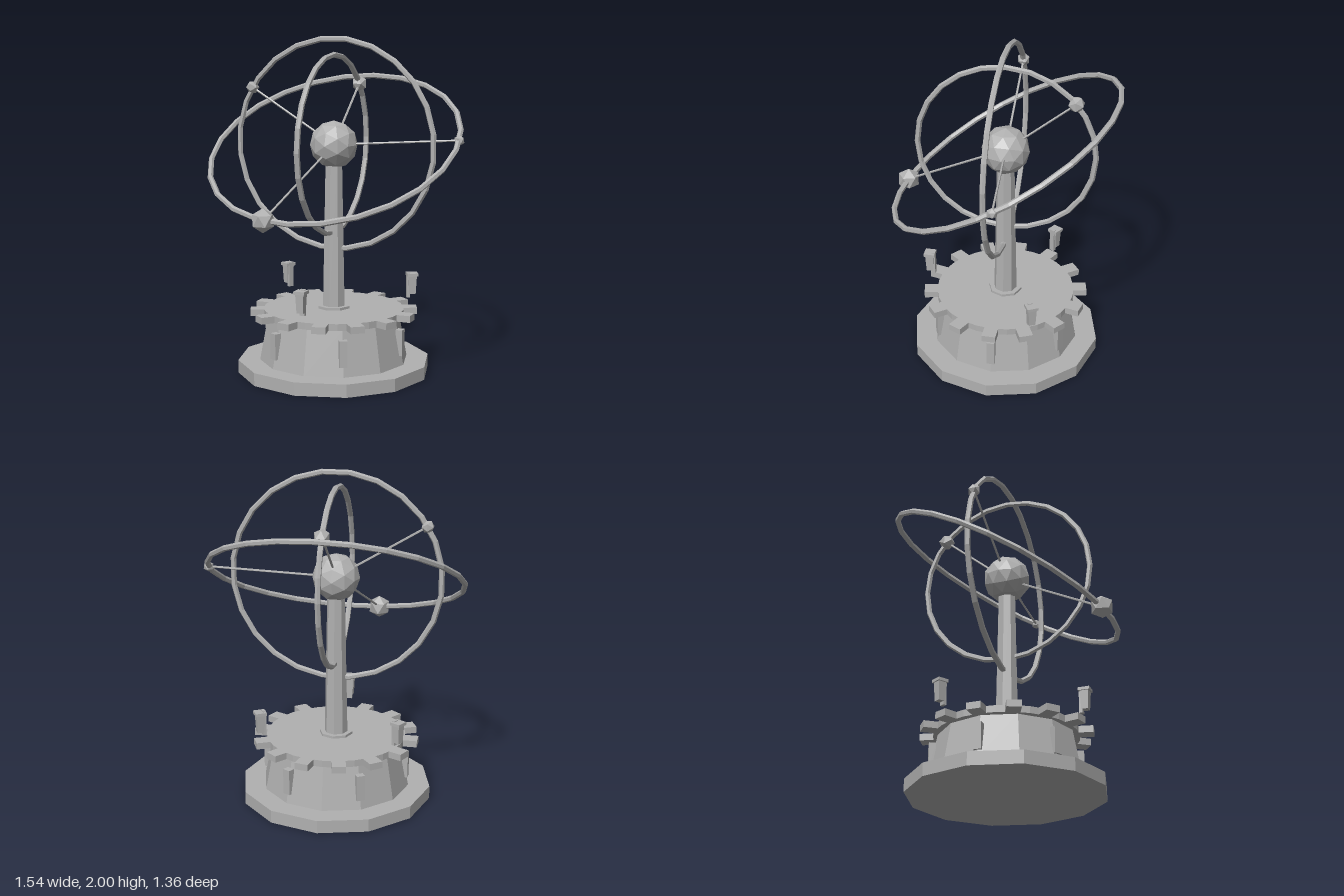
import * as THREE from 'three';

const stone = new THREE.MeshStandardMaterial({ color: 0xb0b0b0, flatShading: true });
stone.name = 'grey';

const rad = THREE.MathUtils.degToRad;

function add(parent, name, geometry, x = 0, y = 0, z = 0) {
  const mesh = new THREE.Mesh(geometry, stone);
  mesh.name = name;
  mesh.position.set(x, y, z);
  parent.add(mesh);
  return mesh;
}

// Cylinder described by its bottom and top heights
function drum(parent, name, rTop, rBottom, y0, y1, sides) {
  return add(parent, name, new THREE.CylinderGeometry(rTop, rBottom, y1 - y0, sides), 0, (y0 + y1) / 2, 0);
}

// Orbit ring carrying planets, each held by a thin spoke: [angle, size]
function orbit(parent, name, radius, twist, planets) {
  const group = new THREE.Group();
  group.name = name;
  parent.add(group);
  add(group, 'ring', new THREE.TorusGeometry(radius, 0.017, 6, 24)).rotation.z = rad(twist);
  for (const [angle, size] of planets) {
    const a = rad(angle);
    const x = Math.cos(a) * radius, y = Math.sin(a) * radius;
    add(group, 'planet', new THREE.IcosahedronGeometry(size, 0), x, y, 0);
    const spoke = add(group, 'spoke', new THREE.CylinderGeometry(0.007, 0.007, radius, 5), x / 2, y / 2, 0);
    spoke.rotation.z = a - Math.PI / 2;
  }
  return group;
}

export function createModel() {
  const model = new THREE.Group();
  model.name = 'orrery';
  const body = new THREE.Group();
  body.name = 'body';
  body.position.set(-0.008, 0, -0.016);
  model.add(body);

  // Stepped base
  drum(body, 'plinth', 0.576, 0.576, 0, 0.077, 12);
  drum(body, 'drum', 0.395, 0.445, 0.077, 0.345, 12);
  for (let i = 0; i < 6; i++) {
    const pivot = new THREE.Group();
    pivot.name = 'buttress';
    pivot.rotation.y = i * Math.PI / 3;
    body.add(pivot);
    add(pivot, 'buttressBlock', new THREE.BoxGeometry(0.04, 0.155, 0.048), 0.424, 0.212, 0);
  }

  // Gear wheel with block teeth
  drum(body, 'gearPlate', 0.42, 0.42, 0.345, 0.385, 28);
  for (let i = 0; i < 14; i++) {
    const a = i * Math.PI * 2 / 14;
    const tooth = add(body, 'gearTooth', new THREE.BoxGeometry(0.09, 0.04, 0.083),
      Math.cos(a) * 0.453, 0.365, Math.sin(a) * 0.453);
    tooth.rotation.y = -a;
  }

  // Hovering lanterns around the gear
  for (let i = 0; i < 3; i++) {
    const a = rad(90 + i * 120);
    const lantern = new THREE.Group();
    lantern.name = 'lantern';
    lantern.position.set(Math.cos(a) * 0.475, 0, Math.sin(a) * 0.475);
    lantern.rotation.y = Math.PI / 2 - a;
    body.add(lantern);
    const glass = drum(lantern, 'lanternBody', 0.036, 0.028, 0.455, 0.567, 4);
    glass.rotation.y = Math.PI / 4;
    add(lantern, 'lanternCap', new THREE.BoxGeometry(0.067, 0.018, 0.067), 0, 0.574, 0);
    add(lantern, 'lanternBar', new THREE.BoxGeometry(0.032, 0.152, 0.02), 0, 0.511, -0.024);
  }

  // Column and sun
  drum(body, 'collar', 0.1, 0.1, 0.385, 0.4, 8);
  drum(body, 'column', 0.052, 0.07, 0.385, 1.3, 8);
  const system = new THREE.Group();
  system.name = 'orbits';
  system.position.y = 1.365;
  body.add(system);
  add(system, 'sun', new THREE.IcosahedronGeometry(0.142, 1));

  // Three orbit rings
  orbit(system, 'sideOrbit', 0.525, 0, [[40, 0.05]]).rotation.y = Math.PI / 2;
  orbit(system, 'frontOrbit', 0.62, 7.5, [[148.5, 0.04]]);
  orbit(system, 'tiltedOrbit', 0.75, 0, [[258, 0.07], [7, 0.032]]).rotation.x = rad(-60);

  return model;
}
